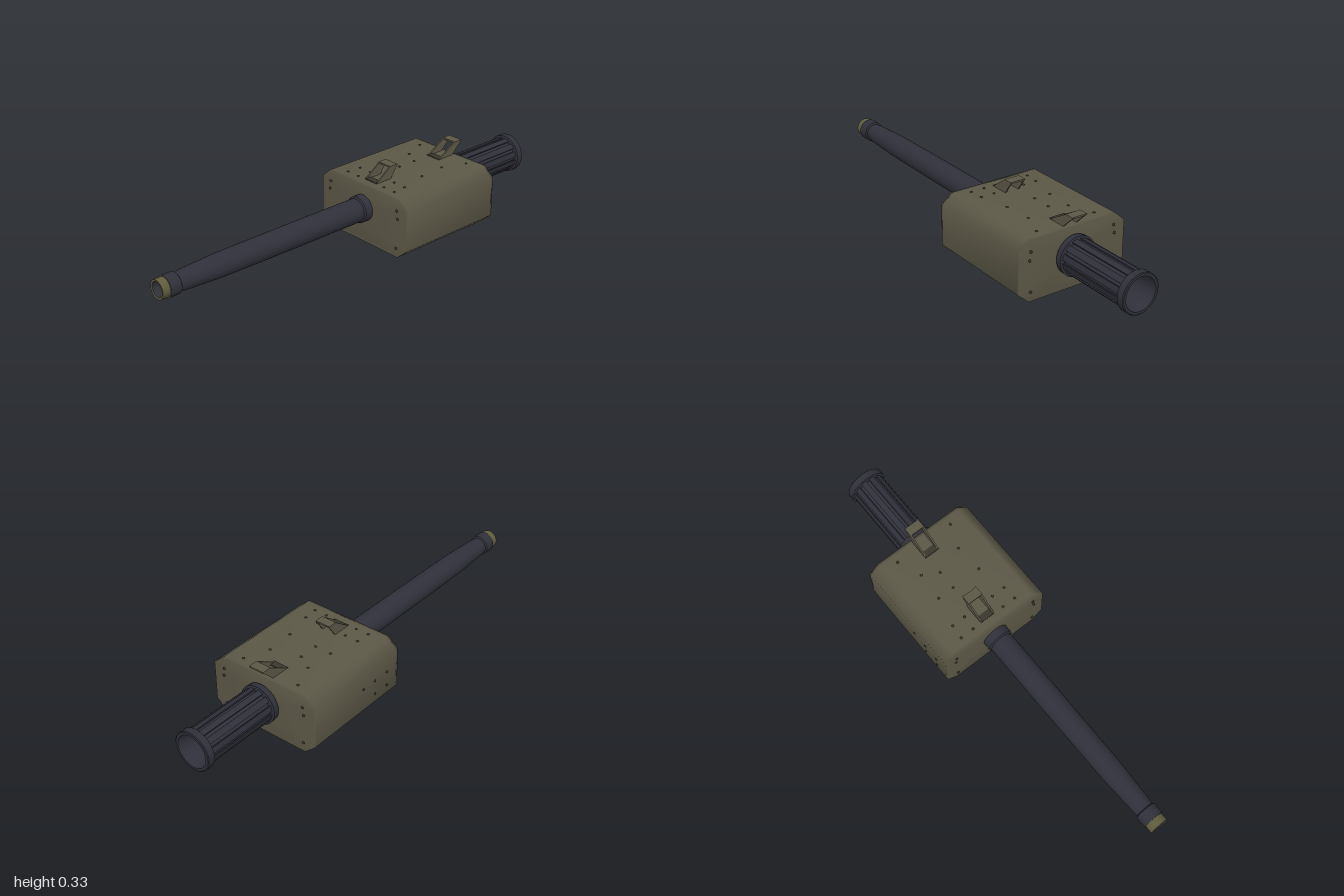
import * as THREE from 'three';

const mat = (name, color, side = THREE.FrontSide) => {
  const m = new THREE.MeshStandardMaterial({ color, side });
  m.name = name;
  return m;
};

export function createModel() {
  const olive = mat('olive housing', 0x5c5847, THREE.DoubleSide);
  const gunmetal = mat('dark blue metal', 0x30303b);
  const brass = mat('muzzle olive', 0x5f5c3e);
  const dark = mat('dark rivets', 0x39372d);

  const group = new THREE.Group();
  const add = (name, geometry, material, parent = group) => {
    const mesh = new THREE.Mesh(geometry, material);
    mesh.name = name;
    parent.add(mesh);
    return mesh;
  };

  // Profile of [radius, x] turned around the x axis; doubled points keep edges sharp
  const turned = (name, profile, material, y, segments = 32) => {
    const pts = profile.flatMap(([r, x]) => [new THREE.Vector2(r, x), new THREE.Vector2(r, x)]);
    const mesh = add(name, new THREE.LatheGeometry(pts, segments).rotateZ(-Math.PI / 2), material);
    mesh.position.y = y;
    return mesh;
  };

  // Housing: chamfered cross-section [y, z] lofted along x, closing in to a hub at each end
  const section = [
    [0.27, 0.212], [0.228, 0.261], [0.045, 0.261], [0.002, 0.212],
    [0.002, -0.212], [0.045, -0.261], [0.228, -0.261], [0.27, -0.212],
  ];
  const hub = section.map(([y, z]) => {
    const a = Math.atan2(z, (y - 0.136) * 1.6);
    return [0.155 + 0.05 * Math.cos(a), 0.05 * Math.sin(a)];
  });
  const rings = [[0.065, hub], [0.065, section], [0.078, section], [0.585, section], [0.598, section], [0.598, hub]];
  const positions = [], index = [];
  rings.forEach(([x, pts], i) => {
    pts.forEach(([y, z], j) => {
      positions.push(x, y, z);
      if (i < rings.length - 1) {
        const a = i * 8 + j, b = i * 8 + (j + 1) % 8;
        index.push(a, b, a + 8, b, b + 8, a + 8);
      }
    });
  });
  const housing = new THREE.BufferGeometry();
  housing.setAttribute('position', new THREE.Float32BufferAttribute(positions, 3));
  housing.setIndex(index);
  housing.computeVertexNormals();
  add('housing', housing, olive);

  // Barrel, swelling gently toward the housing, with a collar at each end
  turned('barrel', [
    [0.047, -0.965], [0.047, -0.915], [0.04, -0.91], [0.043, -0.88],
    [0.051, -0.7], [0.053, -0.3], [0.053, 0.03],
  ], gunmetal, 0.163);
  turned('barrelCollar', [[0.05, 0.02], [0.06, 0.028], [0.06, 0.07]], gunmetal, 0.163);
  turned('muzzleRing', [[0.033, -0.998], [0.042, -1], [0.042, -0.965], [0.047, -0.965]], brass, 0.163);
  turned('muzzleBore', [[0, -0.9], [0.033, -0.9], [0.033, -0.998]], gunmetal, 0.163);

  // Open-ended rear drum with a rim at each end
  const drumY = 0.153;
  turned('rearDrum', [
    [0.04, 0.598], [0.086, 0.605], [0.088, 0.632], [0.068, 0.637],
    [0.068, 0.962], [0.088, 0.967], [0.088, 0.997], [0.084, 1], [0.073, 1], [0.067, 0.95],
    [0.064, 0.7], [0, 0.7],
  ], gunmetal, drumY);

  // Slats around the drum
  const slats = new THREE.Group();
  slats.name = 'drumSlats';
  slats.position.y = drumY;
  group.add(slats);
  for (let i = 0; i < 12; i++) {
    const slat = add('slat', new THREE.BoxGeometry(0.34, 0.005, 0.026).translate(0.8, 0.0755, 0), gunmetal, slats);
    slat.rotation.x = (i + 0.5) * Math.PI / 6;
  }

  // Leaning frames on top: two side plates, a top bar and a foot
  const frame = (name, x, reach) => {
    const g = new THREE.Group();
    g.name = name;
    g.position.set(x, 0.269, -0.002);
    group.add(g);
    const side = new THREE.Shape([
      [0, 0], [0.085, 0], [reach, 0.058], [reach - 0.045, 0.058],
    ].map(p => new THREE.Vector2(...p)));
    for (const z of [-0.036, 0.029]) {
      const plate = new THREE.ExtrudeGeometry(side, { depth: 0.007, bevelEnabled: false });
      add('framePlate', plate.translate(0, 0, z), olive, g);
    }
    add('frameTopBar', new THREE.BoxGeometry(0.042, 0.007, 0.072).translate(reach - 0.024, 0.0555, 0), olive, g);
    add('frameFoot', new THREE.BoxGeometry(0.03, 0.006, 0.072).translate(0.015, 0.002, 0), dark, g);
  };
  frame('frontFrame', 0.11, 0.125);
  frame('rearFrame', 0.49, 0.145);

  // Domed rivets on the top, ends and back
  const rivet = new THREE.SphereGeometry(0.006, 8, 6);
  const rivets = new THREE.Group();
  rivets.name = 'rivets';
  group.add(rivets);
  const addRivet = (x, y, z) => add('rivet', rivet, dark, rivets).position.set(x, y, z);
  for (const s of [-1, 1]) {
    for (const [x, z] of [[0.11, 0.08], [0.11, 0.143], [0.175, 0.075], [0.175, 0.138], [0.31, 0.108], [0.44, 0.1], [0.55, 0.143]])
      addRivet(x, 0.269, s * z);
    for (const [y, z] of [[0.22, 0.206], [0.183, 0.211], [0.045, 0.205]]) {
      addRivet(0.599, y, s * z);
      addRivet(0.064, y, s * z);
    }
  }
  for (const x of [0.31, 0.4]) addRivet(x, 0.269, -0.03);
  for (const [x, y] of [[0.29, 0.15], [0.215, 0.15], [0.137, 0.15], [0.215, 0.085], [0.137, 0.085]])
    addRivet(x, y, -0.26);

  return group;
}
